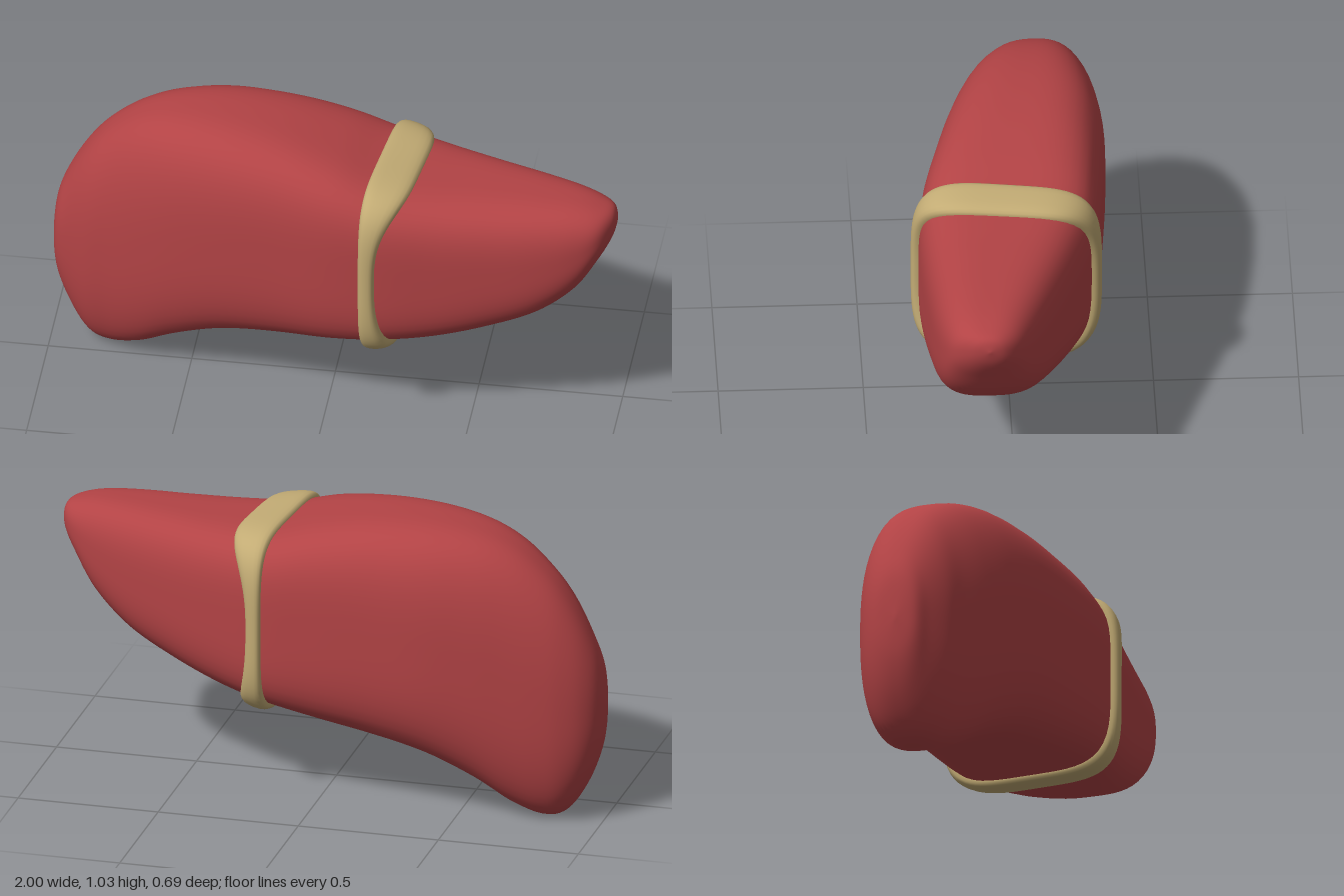
import * as THREE from 'three';
import { mergeVertices } from 'three/addons/utils/BufferGeometryUtils.js';

// Cross-sections along x: [x, bottom, top, back, front, squareness]
const SECTIONS = [
  [-1.0, 0.40, 0.40, -0.13, -0.13, 2.3],
  [-0.985, 0.26, 0.56, -0.205, -0.065, 2.3],
  [-0.94, 0.13, 0.68, -0.258, -0.025, 2.4],
  [-0.87, 0.025, 0.80, -0.293, 0.025, 2.5],
  [-0.79, 0.0, 0.89, -0.312, 0.06, 2.6],
  [-0.68, 0.035, 0.967, -0.327, 0.11, 2.8],
  [-0.55, 0.112, 1.012, -0.341, 0.16, 3.0],
  [-0.38, 0.187, 1.03, -0.35, 0.21, 3.2],
  [-0.18, 0.235, 1.02, -0.337, 0.258, 3.5],
  [0.02, 0.272, 0.983, -0.318, 0.303, 3.9],
  [0.2, 0.306, 0.932, -0.29, 0.318, 4.2],
  [0.38, 0.338, 0.92, -0.232, 0.312, 3.8],
  [0.56, 0.393, 0.918, -0.167, 0.3, 3.4],
  [0.73, 0.468, 0.917, -0.103, 0.285, 3.1],
  [0.86, 0.575, 0.911, -0.047, 0.262, 2.8],
  [0.94, 0.695, 0.896, 0.0, 0.228, 2.5],
  [0.985, 0.775, 0.876, 0.05, 0.165, 2.3],
  [1.0, 0.835, 0.835, 0.105, 0.105, 2.2],
];

// Smooth section at parameter u in 0..1
function sectionAt(u) {
  const last = SECTIONS.length - 1;
  const i = Math.min(Math.floor(u * last), last - 1);
  const t = u * last - i;
  const [p, a, b, q] = [i - 1, i, i + 1, i + 2].map(
    (k) => SECTIONS[THREE.MathUtils.clamp(k, 0, last)]);
  return a.map((v, k) => {
    const m0 = (b[k] - p[k]) / 2, m1 = (q[k] - v) / 2, d = b[k] - v;
    return v + t * (m0 + t * (3 * d - 2 * m0 - m1 + t * (m0 + m1 - 2 * d)));
  });
}

// Section at a given x, found by bisection
function sectionAtX(x) {
  let lo = 0, hi = 1;
  for (let k = 0; k < 24; k++) {
    const mid = (lo + hi) / 2;
    if (sectionAt(mid)[0] < x) lo = mid; else hi = mid;
  }
  return sectionAt(lo);
}

// Point on a rounded-square section, pushed outward by offset
function rimPoint([x, bottom, top, back, front, n], angle, offset = 0) {
  const c = Math.cos(angle), s = Math.sin(angle);
  const r = Math.pow(Math.abs(c) ** n + Math.abs(s) ** n, -1 / n);
  return new THREE.Vector3(
    x,
    (top + bottom) / 2 + r * s * ((top - bottom) / 2 + offset),
    (front + back) / 2 + r * c * ((front - back) / 2 + offset));
}

// Grid surface closed in j, optionally closed in i
function loft(rows, cols, closed, pointAt) {
  const positions = [], index = [];
  for (let i = 0; i < rows; i++)
    for (let j = 0; j < cols; j++) positions.push(...pointAt(i, j).toArray());
  for (let i = 0; i < (closed ? rows : rows - 1); i++)
    for (let j = 0; j < cols; j++) {
      const i2 = (i + 1) % rows, j2 = (j + 1) % cols;
      const a = i * cols + j, b = i2 * cols + j, c = i2 * cols + j2, d = i * cols + j2;
      index.push(a, b, c, a, c, d);
    }
  let geometry = new THREE.BufferGeometry();
  geometry.setAttribute('position', new THREE.Float32BufferAttribute(positions, 3));
  geometry.setIndex(index);
  geometry = mergeVertices(geometry, 1e-5);
  geometry.computeVertexNormals();
  return geometry;
}

const signedPow = (v, p) => Math.sign(v) * Math.abs(v) ** p;

export function createModel() {
  const group = new THREE.Group();
  const red = new THREE.MeshStandardMaterial({ color: 0xb24345 });
  red.name = 'deep red';
  const tan = new THREE.MeshStandardMaterial({ color: 0xc2ab74 });
  tan.name = 'tan';

  // Organ body: large rounded lobe tapering to a thin lobe
  const rows = 103, cols = 72;
  const body = new THREE.Mesh(loft(rows, cols, false, (i, j) =>
    rimPoint(sectionAt(i / (rows - 1)), (j / cols) * Math.PI * 2)), red);
  body.name = 'lobes';
  group.add(body);

  // Ligament band: narrow on front and back, broad over the top and underside
  const around = 120, profile = 20;
  const base = sectionAtX(0.2);
  const band = new THREE.Mesh(loft(around, profile, true, (i, j) => {
    const angle = (i / around) * Math.PI * 2;
    const phi = (j / profile) * Math.PI * 2;
    const guide = rimPoint(base, angle);
    const rise = THREE.MathUtils.clamp((guide.y - 0.619) / 0.313, -1, 1);
    const width = 0.056 + (rise > 0 ? 0.095 : 0.06) * Math.abs(rise) ** 2.6;
    const left = 0.16 - 0.11 * guide.z;
    const x = left + width * (0.5 + 0.5 * signedPow(Math.cos(phi), 0.8));
    return rimPoint(sectionAtX(x), angle, 0.027 * signedPow(Math.sin(phi), 0.8));
  }), tan);
  band.name = 'ligamentBand';
  group.add(band);

  return group;
}
